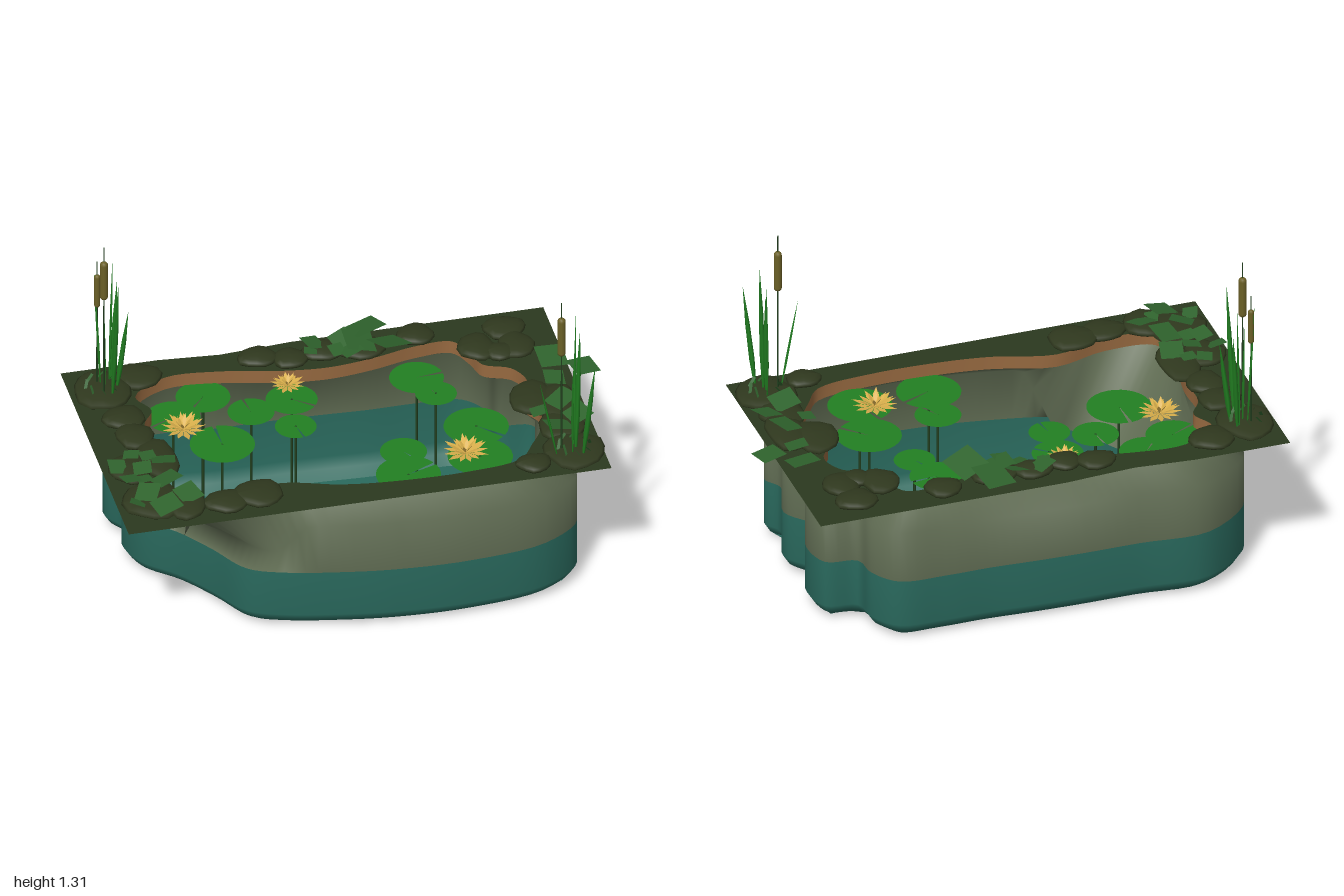
import * as THREE from 'three';

const paint = (name, color, side = THREE.FrontSide) => {
  const m = new THREE.MeshStandardMaterial({ color, side });
  m.name = name;
  return m;
};

export function createModel() {
  const pond = new THREE.Group();
  pond.name = 'pond';
  const D = THREE.DoubleSide;
  const soil = paint('dark soil', 0x2b391f, D);
  const clay = paint('brown clay', 0x966940, D);
  const wall = paint('grey green wall', 0x5f6b52, D);
  const teal = paint('teal basin', 0x2a6a5e, D);
  const stone = paint('mossy stone', 0x2f381e);
  const padGreen = paint('lily green', 0x228022, D);
  const stemGreen = paint('dark stem', 0x23401f, D);
  const leafGreen = paint('leaf green', 0x2f632d, D);
  const gold = paint('golden petal', 0xdab04c, D);
  const brown = paint('cattail brown', 0x6c6128);

  let seed = 7;
  const rand = (a, b) => {
    seed = (seed * 16807) % 2147483647;
    return a + (b - a) * (seed / 2147483647);
  };
  const add = (parent, name, geo, mat, x = 0, y = 0, z = 0) => {
    const m = new THREE.Mesh(geo, mat);
    m.name = name;
    m.position.set(x, y, z);
    parent.add(m);
    return m;
  };
  const group = (name) => {
    const g = new THREE.Group();
    g.name = name;
    pond.add(g);
    return g;
  };

  // Basin outlines, clockwise from the left: rim x, z and the matching belly x, z
  const outline = [[-.77, -.14, -.86, -.14], [-.72, -.23, -.82, -.23], [-.76, -.33, -.88, -.36],
    [-.62, -.43, -.68, -.535], [-.4, -.42, -.4, -.53], [-.18, -.37, -.18, -.53], [0, -.35, 0, -.525],
    [.18, -.37, .2, -.515], [.36, -.41, .38, -.515], [.5, -.41, .56, -.5], [.55, -.32, .64, -.4],
    [.58, -.23, .66, -.3], [.68, -.18, .78, -.27], [.72, -.08, .81, -.12], [.67, .02, .73, 0], [.72, .13, .81, .13],
    [.69, .25, .76, .31], [.64, .33, .8, .39], [.57, .42, .65, .51], [.35, .455, .35, .557], [.06, .45, .06, .55],
    [-.13, .425, -.15, .52], [-.37, .36, -.37, .47], [-.58, .41, -.5, .41], [-.78, .39, -.6, .25],
    [-.8, .24, -.7, .11], [-.77, .02, -.82, -.01]];
  const N = 135;
  const sample = (k) => {
    const c = new THREE.CatmullRomCurve3(outline.map((p) => new THREE.Vector3(p[k], 0, p[k + 1])), true);
    return Array.from({ length: N }, (_, i) => {
      const p = c.getPoint(i / N), t = c.getTangent(i / N);
      return { x: p.x, z: p.z, nx: t.z, nz: -t.x };
    });
  };
  const rim = sample(0), belly = sample(2);
  // The front left corner dips down and inwards as a shelf
  const dent = (p) => (p.x < -.28 && p.z > 0 ? Math.min(1, (-.28 - p.x) / .15, p.z / .12) : 0);
  const ring = (src, inset, y, shelf = 0) => src.map((p) => {
    const d = shelf * dent(p);
    return [p.x - p.nx * inset + .07 * d, y - .2 * d, p.z - p.nz * inset - .1 * d];
  });
  const band = (rings) => {
    const idx = [];
    for (let r = 0; r < rings.length - 1; r++) {
      for (let i = 0; i < N; i++) {
        const j = (i + 1) % N, a = r * N, b = a + N;
        idx.push(a + i, a + j, b + i, a + j, b + j, b + i);
      }
    }
    const g = new THREE.BufferGeometry();
    g.setAttribute('position', new THREE.Float32BufferAttribute(rings.flat(2), 3));
    g.setIndex(idx);
    g.computeVertexNormals();
    return g;
  };
  const basin = group('basin');
  const lip = ring(rim, 0, .55), line = ring(belly, 0, .265), foot = ring(belly, .065, 0);
  add(basin, 'clayRim', band([ring(rim, 0, .605), lip]), clay);
  add(basin, 'upperWall', band([lip, ring(belly, 0, .48, 1), line]), wall);
  add(basin, 'lowerWall', band([line, ring(belly, 0, .07), ring(belly, .025, .03), foot]), teal);
  const floorShape = new THREE.Shape(foot.map(([x, , z]) => new THREE.Vector2(x, z)));
  add(basin, 'floor', new THREE.ShapeGeometry(floorShape).rotateX(Math.PI / 2), teal);

  // Flat bank with the basin opening cut out
  const bankShape = new THREE.Shape([[-1, -.56], [.895, -.56], [.895, .55], [-.1, .55], [-.2, .542], [-.38, .53],
    [-.62, .55], [-1, .55]].map(([x, y]) => new THREE.Vector2(x, y)));
  bankShape.holes.push(new THREE.Path(rim.map((p) => new THREE.Vector2(p.x, -p.z))));
  add(pond, 'bank', new THREE.ShapeGeometry(bankShape).rotateX(-Math.PI / 2), soil, 0, .605, 0);

  // Flattened edge stones: x, z, radius x, radius z
  const stones = group('stones');
  [[-.88, -.375, .11, .135], [-.72, -.44, .09, .085], [-.84, -.18, .085, .08], [-.83, -.05, .075, .085],
    [-.78, .12, .08, .14], [-.9, .16, .08, .1], [-.86, .38, .12, .13], [-.75, .44, .08, .1], [-.59, .45, .09, .075],
    [-.46, .43, .1, .09], [-.25, -.455, .08, .065], [-.13, -.42, .07, .065], [0, -.44, .085, .065],
    [.15, -.42, .1, .07], [.37, -.46, .075, .07], [.71, -.43, .085, .075], [.58, -.33, .075, .09],
    [.73, -.31, .07, .09], [.66, -.28, .065, .055], [.71, .06, .095, .12], [.8, .12, .08, .14], [.77, .26, .09, .1],
    [.61, .48, .07, .06], [.78, .43, .12, .125]].forEach(([x, z, rx, rz]) => {
    const g = new THREE.SphereGeometry(1, 14, 8);
    const p = g.attributes.position, phase = rand(0, 6);
    for (let i = 0; i < p.count; i++) {
      const a = Math.atan2(p.getZ(i), p.getX(i));
      const k = 1 + .06 * Math.sin(3 * a + phase) + .04 * Math.cos(5 * a + phase);
      p.setXYZ(i, p.getX(i) * k * rx, p.getY(i) * .022, p.getZ(i) * k * rz);
    }
    g.computeVertexNormals();
    add(stones, 'stone', g, stone, x, .621 + rand(-.003, .004), z);
  });

  // Notched lily pads on long stems: x, z, radius, notch direction
  const lilies = group('lilyPads');
  [[-.63, -.25, .105, 3.6], [-.49, -.345, .105, 4], [-.495, -.01, .125, 1.6], [-.34, -.185, .09, 1.7],
    [-.19, -.08, .08, 4.9], [-.165, -.25, .1, 5.6], [.33, -.27, .105, .1], [.375, -.14, .08, 2], [.17, .18, .09, 5.2],
    [.15, .345, .125, .4], [.475, .1, .125, 5.5], [.44, .31, .125, 1.9]].forEach(([x, z, r, a], i) => {
    const y = .545 + (i % 4) * .007;
    const pad = new THREE.CircleGeometry(r, 28, a + .06, Math.PI * 2 - .12).rotateX(-Math.PI / 2);
    add(lilies, 'pad', pad, padGreen, x, y, z);
    add(lilies, 'padStem', new THREE.CylinderGeometry(.005, .005, y, 6), stemGreen, x, y / 2, z);
  });

  // Lily flowers in three tiers of pointed petals
  const petal = new THREE.ShapeGeometry(new THREE.Shape([[0, 0], [.13, .6], [0, 1], [-.13, .6]]
    .map(([x, y]) => new THREE.Vector2(x, y))));
  [[-.62, -.125, .09], [-.165, -.32, .07], [.39, .28, .092]].forEach(([x, z, r]) => {
    const flower = group('lilyFlower');
    flower.position.set(x, .57, z);
    [[13, 1.4, 1], [9, 1.05, .85], [6, .6, .65]].forEach(([count, tilt, size], tier) => {
      for (let i = 0; i < count; i++) {
        const m = add(flower, 'petal', petal, gold);
        m.rotation.set(tilt, (i / count) * Math.PI * 2 + tier * .3, 0, 'YXZ');
        m.scale.setScalar(r * size * rand(.9, 1.1));
      }
    });
  });

  // Reed clumps: blades from foot to tip, and cattails
  const up = new THREE.Vector3(0, 1, 0);
  const profile = [[.004, 0], [.012, .3], [.01, .65], [.0005, 1]].map(([x, y]) => new THREE.Vector2(x, y));
  const blade = new THREE.LatheGeometry(profile, 4);
  const reeds = (name, cx, cz, tips, cattails) => {
    const g = group(name);
    tips.forEach(([x, y, z], i) => {
      const from = new THREE.Vector3(cx + (x - cx) * .45, .61, cz + (z - cz) * .5);
      const dir = new THREE.Vector3(x, y, z).sub(from);
      const m = add(g, 'blade', blade, padGreen, from.x, from.y, from.z);
      m.scale.set(i % 2 ? .4 : .9, dir.length(), i % 2 ? .9 : .4);
      m.quaternion.setFromUnitVectors(up, dir.normalize());
    });
    cattails.forEach(([x, z, top, low, high, r]) => {
      add(g, 'cattailStem', new THREE.CylinderGeometry(.002, .004, top - .61, 6), stemGreen, x, (top + .61) / 2, z);
      add(g, 'cattailHead', new THREE.CapsuleGeometry(r, high - low - 2 * r, 4, 10), brown, x, (low + high) / 2, z);
    });
  };
  reeds('backReeds', -.86, -.38,
    [[-.84, 1.17, -.27], [-.82, 1.17, -.45], [-.8, 1.06, -.46], [-.9, 1.15, -.42], [-.78, .98, -.36], [-.87, 1.05, -.39]],
    [[-.88, -.34, 1.31, 1.07, 1.245, .016], [-.89, -.41, 1.2, .99, 1.14, .012]]);
  reeds('frontReeds', .77, .44,
    [[.8, 1.17, .44], [.81, 1.17, .33], [.84, 1.05, .52], [.635, .98, .47], [.79, 1.06, .4], [.76, 1, .49]],
    [[.73, .43, 1.31, 1.065, 1.24, .016]]);

  // Square ground leaves: x, z, size
  const foliage = group('foliage');
  [[.18, -.5, .13], [.14, -.42, .12], [.25, -.38, .13], [-.03, -.46, .08], [.08, -.46, .08], [.05, -.4, .06],
    [.1, -.38, .08], [-.05, -.42, .05], [.83, -.15, .11], [.935, -.06, .1], [.81, -.02, .08], [.8, .13, .1],
    [.84, .24, .09], [.75, .3, .1], [.7, .18, .06], [-.95, .17, .07], [-.88, .1, .06], [-.82, .12, .06], [-.86, .2, .07],
    [-.77, .17, .09], [-.92, .26, .07], [-.87, .27, .06], [-.79, .3, .1], [-.73, .41, .09], [-.88, .37, .09],
    [-.83, .47, .1], [-.93, .42, .06], [-.78, .44, .06]].forEach(([x, z, s]) => {
    const m = add(foliage, 'leaf', new THREE.PlaneGeometry(s, s).rotateX(-Math.PI / 2), leafGreen, x, .632 + s * .26, z);
    m.rotation.set(rand(-.3, .3), rand(-.5, .5), rand(-.3, .3), 'YXZ');
  });
  // Small sprigs around the reeds
  [[-.88, -.38], [.78, .43]].forEach(([cx, cz]) => {
    for (let i = 0; i < 8; i++) {
      const a = i * .8;
      const m = add(foliage, 'sprig', new THREE.PlaneGeometry(.012, .05), leafGreen,
        cx + .06 * Math.cos(a), .65, cz + .06 * Math.sin(a));
      m.rotation.set(.6, -a, .3, 'YXZ');
    }
  });
  return pond;
}
